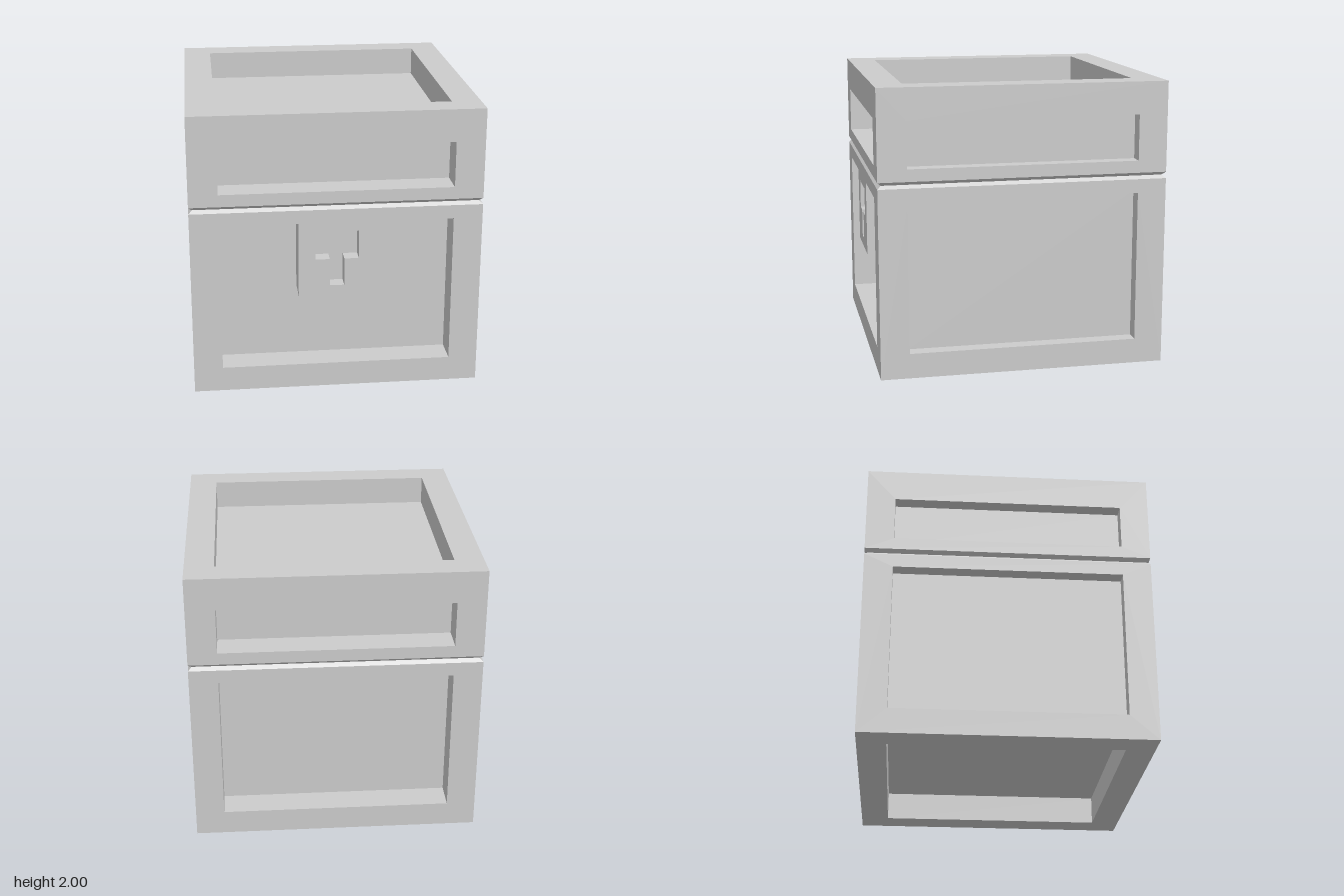
import * as THREE from 'three';
import { mergeGeometries } from 'three/addons/utils/BufferGeometryUtils.js';

const material = new THREE.MeshStandardMaterial({ color: 0xcccccc, flatShading: true });

const rect = (w, y0, y1) => [[-w, y0], [w, y0], [w, y1], [-w, y1]];
const toPoints = (list) => list.map(([x, y]) => new THREE.Vector2(x, y));

// Walls running inward from a counter-clockwise outline
function recessWalls(outline, depth) {
  const position = [], normal = [], uv = [], index = [];
  outline.forEach((p, i) => {
    const q = outline[(i + 1) % outline.length];
    const length = Math.hypot(q[0] - p[0], q[1] - p[1]);
    const n = [(p[1] - q[1]) / length, (q[0] - p[0]) / length, 0];
    position.push(...p, 0, ...q, 0, ...q, -depth, ...p, -depth);
    normal.push(...n, ...n, ...n, ...n);
    uv.push(0, 0, 1, 0, 1, 1, 0, 1);
    const k = i * 4;
    index.push(k, k + 1, k + 2, k, k + 2, k + 3);
  });
  const geometry = new THREE.BufferGeometry();
  geometry.setAttribute('position', new THREE.Float32BufferAttribute(position, 3));
  geometry.setAttribute('normal', new THREE.Float32BufferAttribute(normal, 3));
  geometry.setAttribute('uv', new THREE.Float32BufferAttribute(uv, 2));
  geometry.setIndex(index);
  return geometry;
}

// Flat face in the xy plane with sunken areas: [{ outline, depth }]
function sunkenFace(outer, recesses) {
  const face = new THREE.Shape(toPoints(outer));
  const parts = [];
  for (const { outline, depth } of recesses) {
    face.holes.push(new THREE.Path(toPoints(outline)));
    const floor = new THREE.ShapeGeometry(new THREE.Shape(toPoints(outline)));
    parts.push(floor.translate(0, 0, -depth), recessWalls(outline, depth));
  }
  parts.push(new THREE.ShapeGeometry(face));
  return mergeGeometries(parts);
}

function addMesh(group, name, geometry) {
  const mesh = new THREE.Mesh(geometry, material);
  mesh.name = name;
  group.add(mesh);
}

// Square sloped band between two heights
function slopedBand(topHalf, bottomHalf, y0, y1) {
  const r = Math.SQRT2;
  return new THREE.CylinderGeometry(topHalf * r, bottomHalf * r, y1 - y0, 4, 1, true)
    .rotateY(Math.PI / 4)
    .translate(0, (y0 + y1) / 2, 0);
}

export function createModel() {
  const model = new THREE.Group();
  model.name = 'chest';
  const base = new THREE.Group();
  base.name = 'base';
  const lid = new THREE.Group();
  lid.name = 'lid';
  model.add(base, lid);

  const baseTop = 1.325, lidBottom = 1.37, seam = 1.347;
  const lowPanel = rect(0.8, 0.175, 1.23);
  const highPanel = rect(0.8, 1.455, 1.775);

  // Front panel wraps around the lock plate, which has a T-shaped keyhole
  const frontPanel = [[-0.8, 0.175], [0.8, 0.175], [0.8, 1.23], [0.265, 1.23],
    [0.265, 0.7], [-0.265, 0.7], [-0.265, 1.23], [-0.8, 1.23]];
  const keyhole = [[-0.05, 0.77], [0.05, 0.77], [0.05, 0.965], [0.15, 0.965],
    [0.15, 1.165], [-0.15, 1.165], [-0.15, 0.965], [-0.05, 0.965]];

  // Four sides of base and lid; front and back are sunk deeper
  ['front', 'left', 'back', 'right'].forEach((side, i) => {
    const depth = i % 2 ? 0.1 : 0.2;
    const recesses = side === 'front'
      ? [{ outline: frontPanel, depth }, { outline: keyhole, depth: 0.1 }]
      : [{ outline: lowPanel, depth }];
    const place = (g) => g.translate(0, 0, 1).rotateY(i * Math.PI / 2);
    addMesh(base, side + 'BasePanel', place(sunkenFace(rect(1, 0, baseTop), recesses)));
    addMesh(lid, side + 'LidPanel',
      place(sunkenFace(rect(1, lidBottom, 2), [{ outline: highPanel, depth }])));
  });

  // Top and underside
  const square = () => sunkenFace(rect(1, -1, 1), [{ outline: rect(0.8, -0.8, 0.8), depth: 0.2 }]);
  addMesh(lid, 'topPanel', square().rotateX(-Math.PI / 2).translate(0, 2, 0));
  addMesh(base, 'bottomPanel', square().rotateX(Math.PI / 2));

  // V-shaped groove between base and lid
  addMesh(base, 'baseGroove', slopedBand(0.975, 1, baseTop, seam));
  addMesh(lid, 'lidGroove', slopedBand(1, 0.975, seam, lidBottom));

  return model;
}
